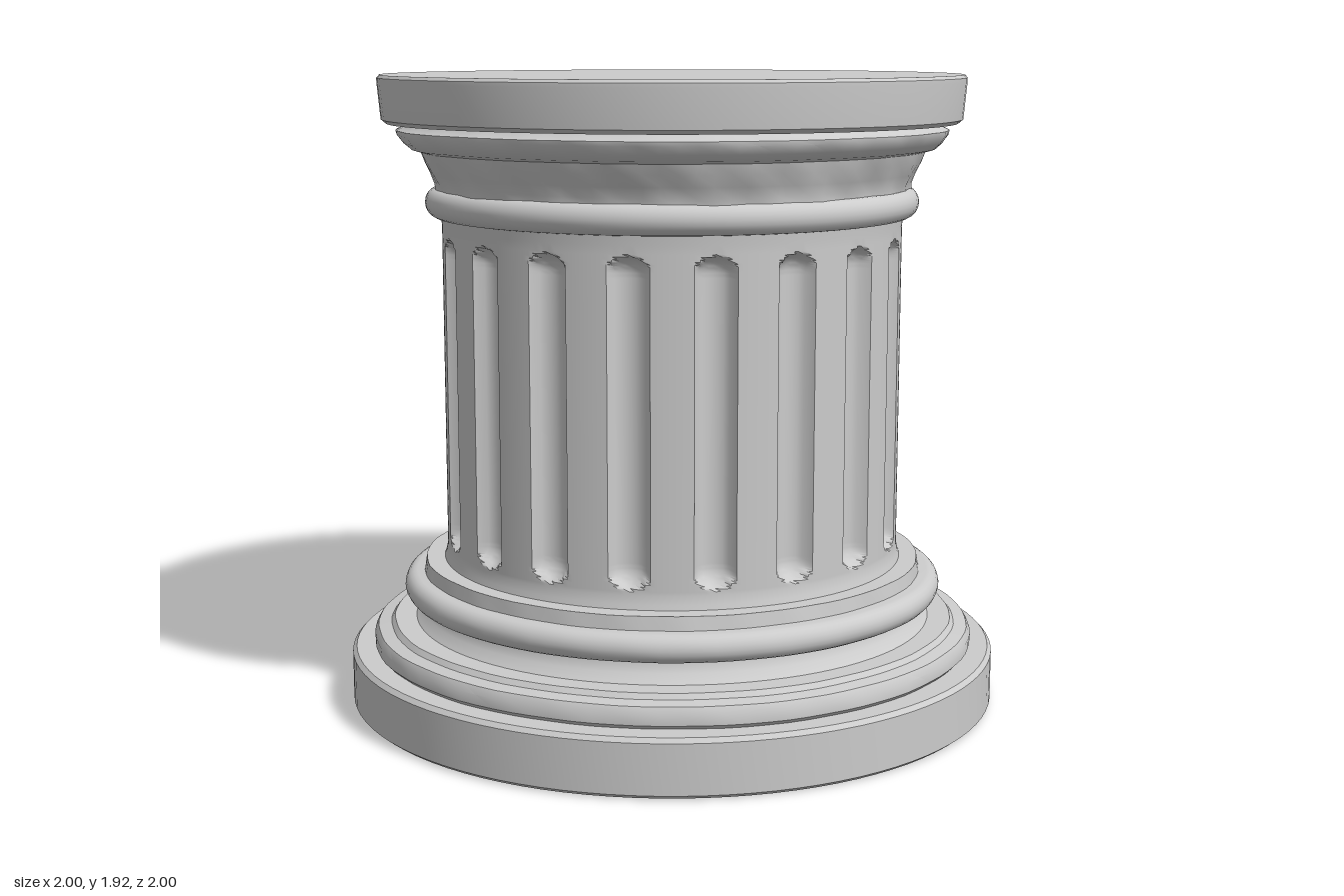
import * as THREE from 'three';
import { toCreasedNormals } from 'three/addons/utils/BufferGeometryUtils.js';

const FLUTES = 18;
const material = new THREE.MeshStandardMaterial({ color: 0xcccccc });

// Profile points [radius, y], listed from bottom to top, for a rounded ring
function bead(inner, outer, y0, y1, steps = 10) {
  const pts = [[0.55, y0]];
  for (let i = 0; i <= steps; i++) {
    const a = -Math.PI / 2 + (Math.PI * i) / steps;
    pts.push([inner + (outer - inner) * Math.cos(a), (y0 + y1) / 2 + ((y1 - y0) / 2) * Math.sin(a)]);
  }
  pts.push([0.55, y1]);
  return pts;
}

// Moves every vertex along its radius: rule(angle, y, radius) gives the new radius
function reshape(geometry, rule) {
  const p = geometry.attributes.position;
  for (let i = 0; i < p.count; i++) {
    const x = p.getX(i), z = p.getZ(i), r = Math.hypot(x, z);
    if (r < 1e-6) continue;
    const k = rule(Math.atan2(x, z), p.getY(i), r) / r;
    p.setX(i, x * k);
    p.setZ(i, z * k);
  }
}

function turned(name, points, { segments = 96, rule = null, crease = 0.6 } = {}) {
  const geometry = new THREE.LatheGeometry(points.map(([r, y]) => new THREE.Vector2(r, y)), segments);
  if (rule) reshape(geometry, rule);
  const mesh = new THREE.Mesh(toCreasedNormals(geometry, crease), material);
  mesh.name = name;
  return mesh;
}

// Slight unevenness of weathered stone
const worn = (amount) => (a, y, r) =>
  r + amount * (Math.sin(5 * a + 9 * y) * 0.5 + Math.sin(13 * a - 21 * y) * 0.3 + Math.sin(29 * a + 40 * y) * 0.2);

// Round-ended flutes cut into the shaft
function fluteRule(a, y, r) {
  const pitch = (Math.PI * 2) / FLUTES, halfWidth = 0.06, depth = 0.048;
  const local = (((a % pitch) + pitch) % pitch) - pitch / 2;
  const across = local * 0.7;
  const along = Math.max(0.5 + halfWidth - y, y - (1.44 - halfWidth), 0);
  const d = Math.hypot(across, along) / halfWidth;
  return d < 1 ? r - depth * Math.sqrt(1 - d * d) : r;
}

function shaftProfile() {
  const pts = [[0.715, 0.43], [0.705, 0.46], [0.7, 0.485]];
  const steps = 10;
  for (let i = 0; i <= steps; i++) pts.push([0.7, 0.495 + (0.07 * i) / steps]);
  for (let i = 1; i < 8; i++) pts.push([0.7, 0.565 + (0.81 * i) / 8]);
  for (let i = 0; i <= steps; i++) pts.push([0.7, 1.375 + (0.07 * i) / steps]);
  pts.push([0.7, 1.47], [0.705, 1.52]);
  return pts;
}

export function createModel() {
  const group = new THREE.Group();
  group.name = 'flutedPedestal';

  group.add(
    // Base
    turned('plinth', [[0, 0], [0.985, 0], [1, 0.012], [1, 0.16], [0.988, 0.173], [0.55, 0.173]]),
    turned('lowerStep', [[0.55, 0.17], [0.92, 0.172], [0.932, 0.185], [0.932, 0.215], [0.92, 0.236],
      [0.88, 0.243], [0.868, 0.258], [0.55, 0.26]], { rule: worn(0.004) }),
    turned('scotia', [[0.81, 0.25], [0.795, 0.265], [0.778, 0.285], [0.767, 0.305], [0.765, 0.325], [0.78, 0.345]]),
    turned('baseTorus', bead(0.795, 0.833, 0.322, 0.405), { rule: worn(0.002) }),
    turned('baseFillet', [[0.55, 0.4], [0.772, 0.4], [0.765, 0.445], [0.55, 0.447]], { rule: worn(0.004) }),

    // Shaft
    turned('flutedShaft', shaftProfile(), { segments: FLUTES * 16, rule: fluteRule, crease: 0.7 }),

    // Capital
    turned('neckTorus', bead(0.71, 0.75, 1.497, 1.585)),
    turned('capitalMoulding', [[0.55, 1.575], [0.72, 1.58], [0.722, 1.6], [0.735, 1.63], [0.752, 1.665],
      [0.762, 1.695], [0.79, 1.703], [0.812, 1.722], [0.828, 1.745], [0.83, 1.758], [0.805, 1.77],
      [0.79, 1.79]], { rule: worn(0.009) }),
    turned('abacus', [[0.55, 1.778], [0.862, 1.778], [0.876, 1.79], [0.886, 1.9], [0.886, 1.912],
      [0.878, 1.921], [0, 1.921]]),
  );
  return group;
}
